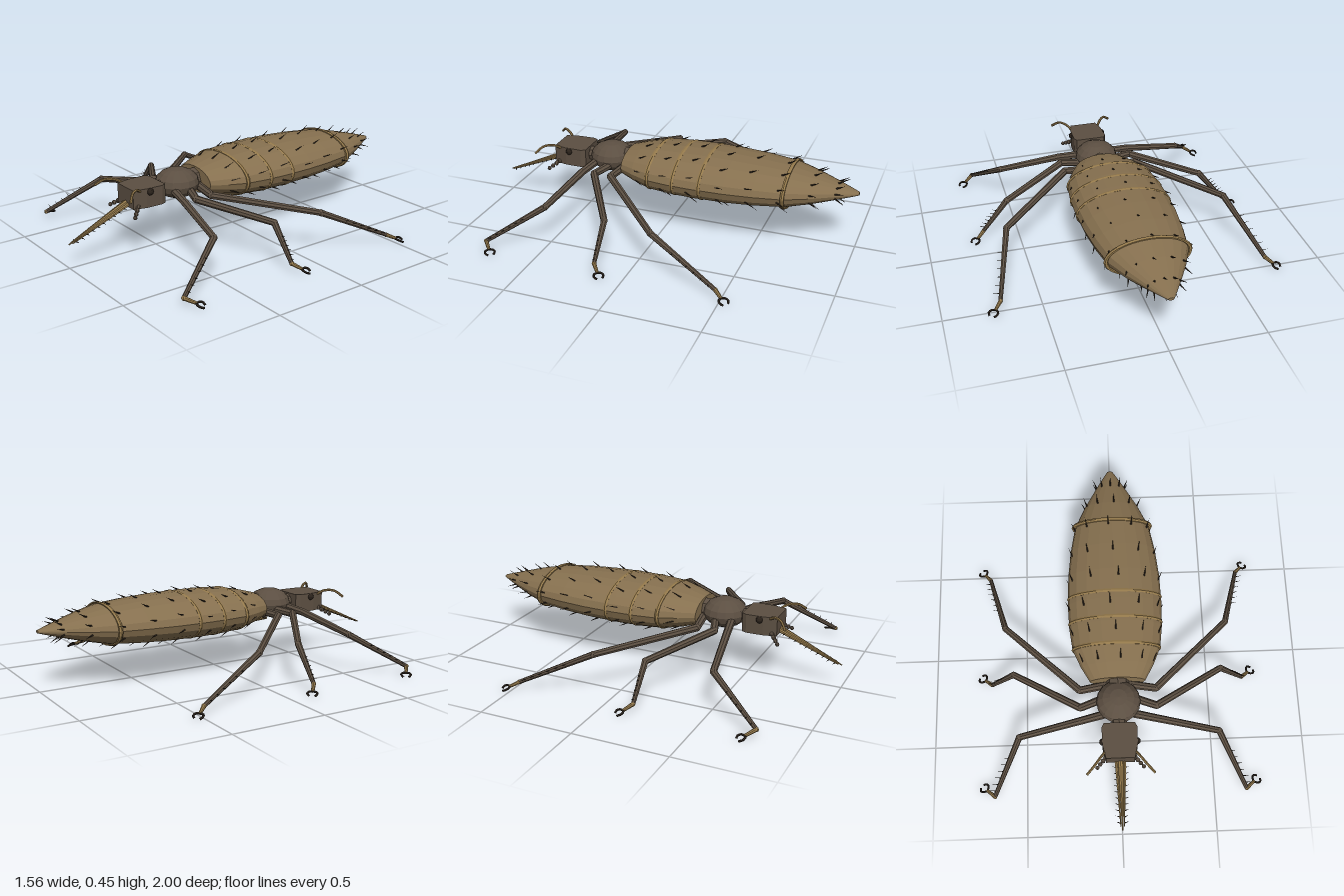
import * as THREE from 'three';

const V = (x, y, z) => new THREE.Vector3(x, y, z);
const mat = (color) => new THREE.MeshStandardMaterial({ color, flatShading: true });
const shell = mat(0x86704f), dark = mat(0x5c4f42), tan = mat(0x957a4c), black = mat(0x2a221b);
const UP = V(0, 1, 0);

function add(parent, name, geometry, material) {
  const mesh = new THREE.Mesh(geometry, material);
  mesh.name = name;
  parent.add(mesh);
  return mesh;
}

// Tapered rod between two points
function rod(parent, name, a, b, r0, r1, material, sides = 8) {
  const dir = b.clone().sub(a);
  const mesh = add(parent, name, new THREE.CylinderGeometry(r1, r0, dir.length(), sides), material);
  mesh.position.copy(a).add(b).multiplyScalar(0.5);
  mesh.quaternion.setFromUnitVectors(UP, dir.normalize());
  return mesh;
}

function ball(parent, name, p, r, material, seg = 8) {
  const mesh = add(parent, name, new THREE.SphereGeometry(r, seg, Math.max(6, seg / 2)), material);
  mesh.position.copy(p);
  return mesh;
}

// Spike growing out of a point
function spike(parent, name, p, dir, length, r) {
  return rod(parent, name, p, p.clone().addScaledVector(dir.clone().normalize(), length), r, 0, black, 4);
}

// Abdomen outline: [z, half width]
const PROFILE = [[-1, 0.015], [-0.96, 0.04], [-0.88, 0.088], [-0.77, 0.15], [-0.65, 0.205], [-0.5, 0.232],
  [-0.35, 0.248], [-0.18, 0.253], [-0.05, 0.248], [0.07, 0.233], [0.17, 0.19], [0.25, 0.145]];
const FLAT = 0.48, MID_Y = 0.308;

function widthAt(z) {
  const i = Math.max(1, PROFILE.findIndex((p) => p[0] >= z));
  const [z0, w0] = PROFILE[i - 1], [z1, w1] = PROFILE[i];
  return w0 + (w1 - w0) * (z - z0) / (z1 - z0);
}

function buildAbdomen() {
  const group = new THREE.Group();
  group.name = 'abdomen';
  const pts = PROFILE.map(([z, w]) => new THREE.Vector2(w, z));
  const body = [new THREE.Vector2(0, -1), ...pts, new THREE.Vector2(0, 0.25)];
  const geo = new THREE.LatheGeometry(body, 20);
  geo.rotateX(Math.PI / 2).scale(1, FLAT, 1);
  add(group, 'abdomenShell', geo, shell).position.y = MID_Y;

  // Segment bands
  for (const [z, w] of [[0.07, 0.228], [-0.075, 0.243], [-0.22, 0.246], [-0.65, 0.213]]) {
    const band = add(group, 'abdomenBand', new THREE.TorusGeometry(w, 0.011, 6, 32), tan);
    band.scale.y = FLAT;
    band.position.set(0, MID_Y, z);
  }

  // Rows of bristles leaning backwards
  [0.15, 0, -0.15, -0.31, -0.46, -0.62, -0.77, -0.89].forEach((z, row) => {
    const w = widthAt(z);
    for (let i = 0; i < 10; i++) {
      const a = Math.PI / 2 + (i / 10) * Math.PI * 2 + ((row % 3) - 1) * 0.1;
      const p = V(Math.cos(a) * w * 0.98, MID_Y + Math.sin(a) * w * FLAT * 0.98, z);
      const out = V(Math.cos(a) * FLAT, Math.sin(a), 0).normalize().multiplyScalar(0.5);
      spike(group, 'bristle', p, out.add(V(0, 0, -0.9)), 0.055, 0.005);
    }
  });
  return group;
}

function buildHead() {
  const group = new THREE.Group();
  group.name = 'head';
  // Block with narrowed back and front corners
  const s = new THREE.Shape();
  [[-0.08, 0.485], [0.08, 0.485], [0.092, 0.51], [0.09, 0.6], [0.074, 0.67], [-0.074, 0.67], [-0.09, 0.6], [-0.092, 0.51]]
    .forEach(([x, z], i) => (i ? s.lineTo(x, z) : s.moveTo(x, z)));
  const geo = new THREE.ExtrudeGeometry(s, { depth: 0.1, bevelEnabled: false });
  geo.rotateX(Math.PI / 2);
  add(group, 'headBlock', geo, dark).position.y = 0.352;
  rod(group, 'neck', V(0, 0.305, 0.44), V(0, 0.305, 0.5), 0.04, 0.04, dark);

  for (const m of [-1, 1]) {
    ball(group, 'eye', V(m * 0.087, 0.333, 0.58), 0.019, black, 12);
    // Arched antenna
    const curve = new THREE.CatmullRomCurve3([V(m * 0.075, 0.34, 0.63), V(m * 0.1, 0.362, 0.665),
      V(m * 0.135, 0.362, 0.71), V(m * 0.172, 0.33, 0.745)]);
    add(group, 'antenna', new THREE.TubeGeometry(curve, 12, 0.007, 6), tan);
    // Beaded palp
    for (let i = 0; i < 4; i++) {
      ball(group, 'palpBead', V(m * (0.075 + i * 0.015), 0.262 - i * 0.011, 0.645 + i * 0.015), 0.014 - i * 0.001, dark);
    }
  }

  // Toothed beak of three blades
  const a = V(0, 0.272, 0.655), b = V(0, 0.125, 0.998);
  rod(group, 'beak', a, b, 0.016, 0.003, tan);
  for (const m of [-1, 1]) {
    const p0 = V(m * 0.021, 0.268, 0.66), p1 = V(m * 0.009, 0.13, 0.98);
    rod(group, 'beakBlade', p0, p1, 0.01, 0.003, tan, 6);
    for (let i = 0; i < 10; i++) {
      spike(group, 'beakTooth', p0.clone().lerp(p1, 0.12 + i * 0.092), V(m, -0.15, -0.35), 0.026, 0.004);
    }
  }
  return group;
}

// Joints of each left leg: root, hip, knee, ankle, toe
const LEGS = {
  frontLeg: [V(0.06, 0.295, 0.42), V(0.2, 0.28, 0.45), V(0.525, 0.215, 0.51), V(0.67, 0.04, 0.785), V(0.715, 0.02, 0.745)],
  middleLeg: [V(0.06, 0.29, 0.33), V(0.2, 0.28, 0.38), V(0.555, 0.215, 0.165), V(0.69, 0.045, 0.165), V(0.73, 0.02, 0.13)],
  hindLeg: [V(0.05, 0.285, 0.26), V(0.2, 0.28, 0.285), V(0.6, 0.218, -0.1), V(0.705, 0.04, -0.47), V(0.738, 0.02, -0.51)],
};

function buildLeg(name, joints, m) {
  const group = new THREE.Group();
  group.name = name;
  const [root, hip, knee, ankle, toe] = joints.map((p) => V(p.x * m, p.y, p.z));
  rod(group, 'coxa', root, hip, 0.022, 0.02, dark);
  rod(group, 'femur', hip, knee, 0.02, 0.017, dark);
  rod(group, 'tibia', knee, ankle, 0.017, 0.011, dark);
  rod(group, 'tarsus', ankle, toe, 0.011, 0.008, tan);
  ball(group, 'hipJoint', hip, 0.02, dark);
  ball(group, 'kneeJoint', knee, 0.018, dark);
  ball(group, 'ankleJoint', ankle, 0.012, tan);

  // Outer spines along the shin
  const shin = ankle.clone().sub(knee).normalize();
  const out = V(m, 0.3, 0);
  out.addScaledVector(shin, -out.dot(shin)).normalize().addScaledVector(shin, 0.25);
  for (let i = 0; i < 6; i++) {
    spike(group, 'shinSpine', knee.clone().lerp(ankle, 0.35 + i * 0.11), out, 0.042, 0.004);
  }

  // Pair of hooked claws
  const f = toe.clone().sub(ankle).setY(0).normalize();
  const side = V(-f.z, 0, f.x);
  for (const c of [-1, 1]) {
    const at = (u, v, y) => toe.clone().addScaledVector(f, u).addScaledVector(side, v * c).setY(y);
    const hook = new THREE.CatmullRomCurve3([at(-0.004, 0, 0.02), at(0.008, 0.02, 0.02),
      at(0.025, 0.024, 0.014), at(0.036, 0.012, 0.006)]);
    add(group, 'claw', new THREE.TubeGeometry(hook, 6, 0.006, 5), black);
  }
  return group;
}

export function createModel() {
  const model = new THREE.Group();
  model.name = 'insect';
  model.add(buildAbdomen(), buildHead());
  const thorax = ball(model, 'thorax', V(0, 0.312, 0.36), 0.116, dark, 16);
  thorax.scale.y = 0.68;
  rod(model, 'waist', V(0, 0.31, 0.22), V(0, 0.31, 0.3), 0.06, 0.06, dark);
  for (const [name, joints] of Object.entries(LEGS)) {
    model.add(buildLeg(name + 'Left', joints, 1), buildLeg(name + 'Right', joints, -1));
  }
  return model;
}
